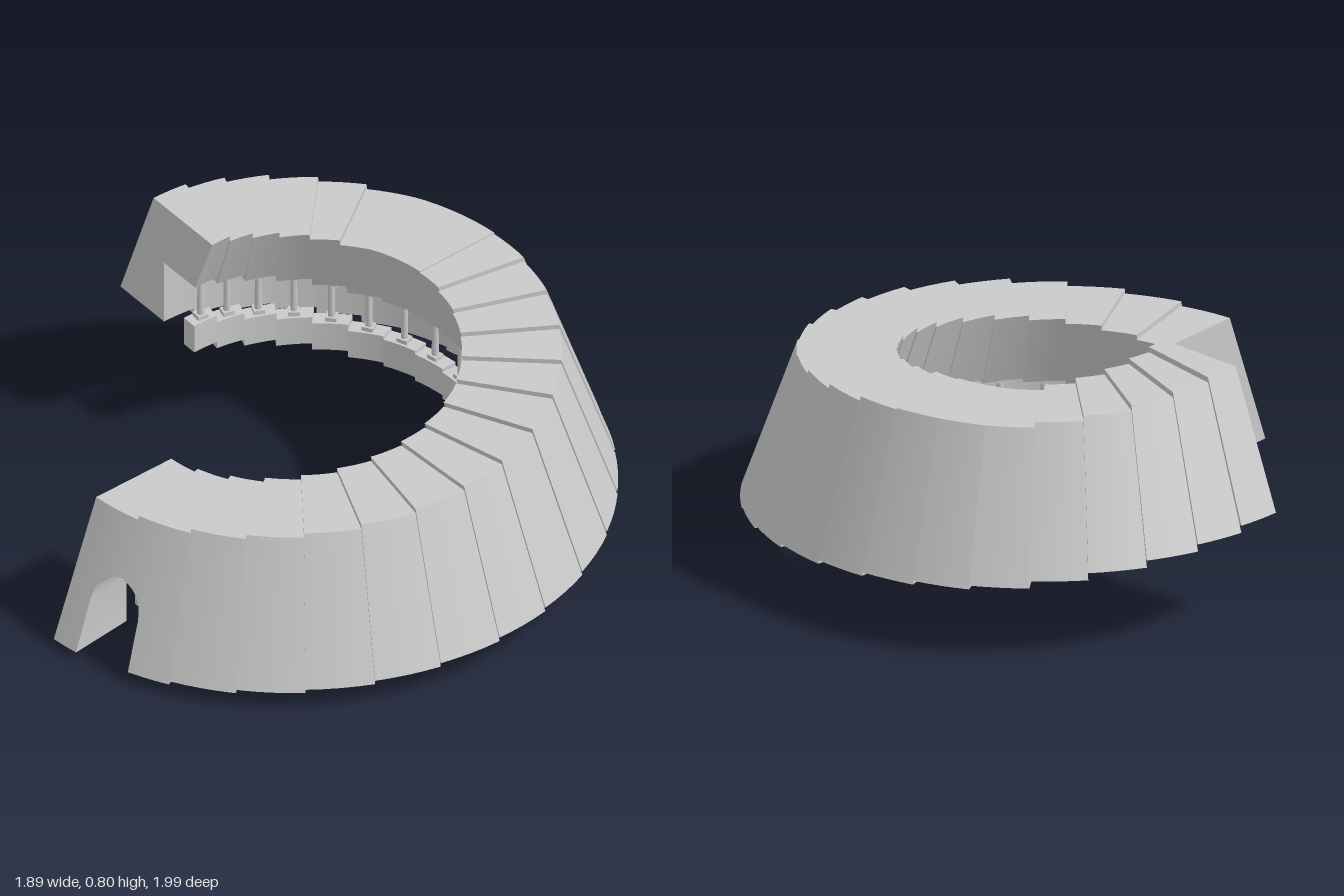
import * as THREE from 'three';
import { toCreasedNormals } from 'three/addons/utils/BufferGeometryUtils.js';

const CX = -0.06; // centre of the ring in x
const RAD = Math.PI / 180;

// Start angle of every step, measured from the front (+z) towards +x
const ANGLES = [-11.5, 1, 14, 26.5, 39, 51.5, 64, 76.5, 88, 100, 112, 123.5, 135, 146.7, 158.4,
  169.2, 180, 190.8, 201.7, 212.4, 223.5, 234, 244, 253.3];

// The ring tightens slightly towards its upper end
const tighten = (a) => -0.072 * THREE.MathUtils.clamp((a - 190) / 63, 0, 1);
const bottomOf = (i) => 0.025 + 0.0127 * i + 0.011 * Math.max(0, i - 17);
const topOf = (i) => (i <= 14 ? 0.485 + 0.0157 * i : 0.71 + 0.018 * Math.max(0, i - 17));

function place(r, y, a) {
  const q = r + tighten(a);
  return new THREE.Vector3(CX + q * Math.sin(a * RAD), y, q * Math.cos(a * RAD));
}

// Lofts [radius, height] sections round the centre and caps both ends
function sweep(stations) {
  const pos = [];
  const tri = (a, b, c) => {
    const area = b.clone().sub(a).cross(c.clone().sub(a)).length();
    if (area > 1e-8) for (const p of [a, b, c]) pos.push(p.x, p.y, p.z);
  };
  const rings = stations.map(({ a, pts }) => pts.map(([r, y]) => place(r, y, a)));
  for (let s = 0; s < rings.length - 1; s++) {
    const p = rings[s], q = rings[s + 1];
    for (let k = 0; k < p.length; k++) {
      const n = (k + 1) % p.length;
      tri(p[k], q[k], q[n]);
      tri(p[k], q[n], p[n]);
    }
  }
  const contour = stations[0].pts.map(([r, y]) => new THREE.Vector2(r, y));
  const first = rings[0], last = rings[rings.length - 1];
  for (const [i, j, k] of THREE.ShapeUtils.triangulateShape(contour, [])) {
    tri(first[i], first[j], first[k]);
    tri(last[k], last[j], last[i]);
  }
  const geo = new THREE.BufferGeometry();
  geo.setAttribute('position', new THREE.Float32BufferAttribute(pos, 3));
  return toCreasedNormals(geo, 0.4);
}

// Leaning wall with an overhanging gallery ceiling; low is the underside of the wall
function wallSection(bottom, top, low) {
  const ceiling = bottom + 0.225;
  const outer = 1 - 0.175 * (low - bottom) / (top - bottom);
  return [[outer, low], [0.825, top], [0.515, top], [0.605, ceiling], [0.77, ceiling], [0.77, low]];
}

const ARCH = { half: 5.8, spring: 0.2, rise: 0.0975 };
const archHeight = (a) =>
  ARCH.spring + ARCH.rise * Math.sqrt(Math.max(0, 1 - (a / ARCH.half) ** 2));

function wallStations(i) {
  const a0 = ANGLES[i], a1 = ANGLES[i + 1];
  const bottom = bottomOf(i), top = topOf(i);
  const list = [];
  const add = (a, low) => list.push({ a, pts: wallSection(bottom, top, low) });
  const span = (from, to, n, low) => {
    for (let k = 0; k <= n; k++) {
      const a = from + (to - from) * k / n;
      add(a, low(a));
    }
  };
  const plain = () => bottom;
  if (i === 0) {
    // Left half of the doorway
    span(a0, -ARCH.half, 2, plain);
    span(-ARCH.half, a1, 16, archHeight);
    add(a1, archHeight(a1));
  } else if (i === 1) {
    // Right half of the doorway
    span(a0, ARCH.half, 12, archHeight);
    span(ARCH.half, a1, 3, plain);
  } else {
    span(a0, a1, 4, plain);
  }
  return list;
}

export function createModel() {
  const model = new THREE.Group();
  model.name = 'spiralGallery';
  const stone = new THREE.MeshStandardMaterial({ color: 0xcacaca });
  stone.name = 'pale stone';

  const add = (name, geo, parent = model) => {
    const mesh = new THREE.Mesh(geo, stone);
    mesh.name = name;
    parent.add(mesh);
    return mesh;
  };

  for (let i = 0; i < ANGLES.length - 1; i++) {
    const a0 = ANGLES[i], a1 = ANGLES[i + 1], b = bottomOf(i);
    add('wallSegment', sweep(wallStations(i)));

    // Low parapet on the inner side of the gallery
    const lo = b - 0.025, hi = b + 0.075;
    const section = [[0.665, lo], [0.665, hi], [0.61, hi], [0.61, lo]];
    const stations = [];
    for (let k = 0; k <= 4; k++) stations.push({ a: a0 + (a1 - a0) * k / 4, pts: section });
    add('parapetSegment', sweep(stations));

    // Slim column from the parapet to the ceiling
    const column = new THREE.Group();
    column.name = 'column';
    const mid = (a0 + a1) / 2, height = 0.15;
    column.position.copy(place(0.637, hi, mid));
    column.rotation.y = mid * RAD;
    add('shaft', new THREE.CylinderGeometry(0.01, 0.012, height, 10), column).position.y = height / 2;
    add('base', new THREE.BoxGeometry(0.036, 0.014, 0.036), column).position.y = 0.007;
    add('capital', new THREE.BoxGeometry(0.036, 0.014, 0.036), column).position.y = height - 0.007;
    model.add(column);
  }
  return model;
}
